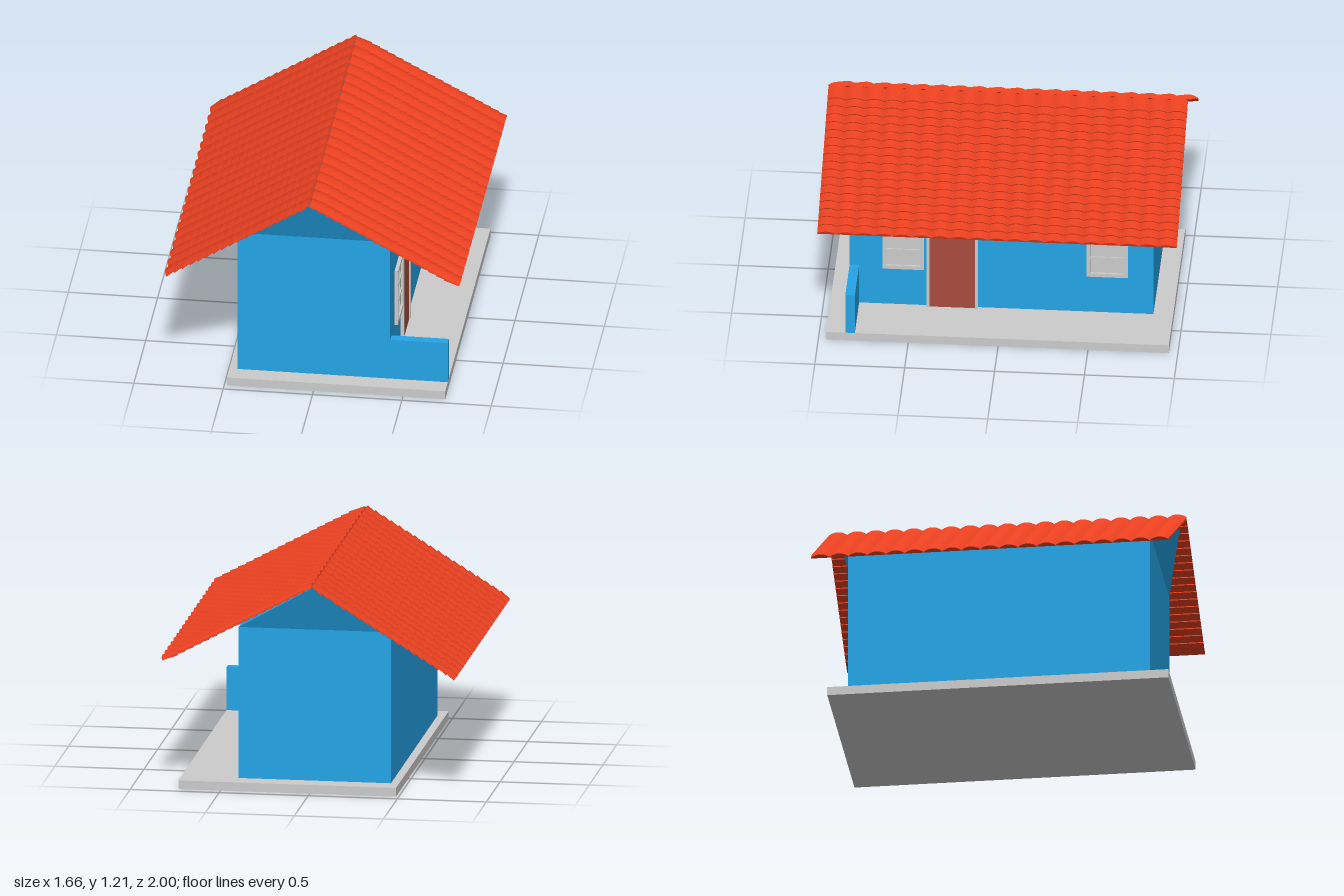
import * as THREE from 'three';
import { toCreasedNormals } from 'three/addons/utils/BufferGeometryUtils.js';

const mat = (color) => new THREE.MeshStandardMaterial({ color });
const GREY = mat(0xcccccc);
const BLUE = mat(0x24a4e6);
const TILE = mat(0xe84020);
const DOOR = mat(0xa74c3c);
const SLAT = mat(0xe06a4a);

// Box given by its limits on each axis
function box(parent, name, material, [x0, x1], [y0, y1], [z0, z1]) {
  const mesh = new THREE.Mesh(new THREE.BoxGeometry(x1 - x0, y1 - y0, z1 - z0), material);
  mesh.position.set((x0 + x1) / 2, (y0 + y1) / 2, (z0 + z1) / 2);
  mesh.name = name;
  parent.add(mesh);
  return mesh;
}

function group(parent, name) {
  const g = new THREE.Group();
  g.name = name;
  parent.add(g);
  return g;
}

const WALL_X = 0.415;

// Paned window on the +x wall: border, two columns and three rows of panes
function addWindow(parent, zc) {
  const g = group(parent, 'window');
  const [y0, y1] = [0.29, 0.63];
  const h = 0.115, b = 0.022;
  const depth = [WALL_X - 0.005, 0.435];
  box(g, 'windowPane', GREY, [WALL_X - 0.005, 0.422], [y0, y1], [zc - h, zc + h]);
  for (const s of [-1, 1]) {
    const z = zc + s * (h - b / 2);
    box(g, 'windowJamb', GREY, depth, [y0, y1], [z - b / 2, z + b / 2]);
    const y = (y0 + y1) / 2 + s * ((y1 - y0) / 2 - b / 2);
    box(g, 'windowRail', GREY, depth, [y - b / 2, y + b / 2], [zc - h + b, zc + h - b]);
  }
  const bar = [WALL_X, 0.43];
  box(g, 'windowMullion', GREY, bar, [y0 + b, y1 - b], [zc - 0.007, zc + 0.007]);
  for (const t of [1 / 3, 2 / 3]) {
    const y = y0 + b + t * (y1 - y0 - 2 * b);
    box(g, 'windowBar', GREY, bar, [y - 0.006, y + 0.006], [zc - h + b, zc + h - b]);
  }
}

// Door with its frame, and the slatted vent above it
function addDoor(parent) {
  const g = group(parent, 'door');
  const [z0, z1] = [0.135, 0.42];
  const depth = [WALL_X - 0.005, 0.435];
  box(g, 'doorLeaf', DOOR, [WALL_X - 0.005, 0.428], [0.05, 0.615], [z0 + 0.015, z1 - 0.015]);
  box(g, 'doorJamb', GREY, depth, [0.05, 0.635], [z0, z0 + 0.015]);
  box(g, 'doorJamb', GREY, depth, [0.05, 0.635], [z1 - 0.015, z1]);
  box(g, 'doorHead', GREY, depth, [0.612, 0.635], [z0 + 0.015, z1 - 0.015]);

  const v = group(parent, 'vent');
  box(v, 'ventRail', SLAT, depth, [0.643, 0.655], [z0, z1]);
  box(v, 'ventRail', SLAT, depth, [0.775, 0.787], [z0, z1]);
  const n = 6, w = 0.024;
  for (let i = 0; i < n; i++) {
    const z = z0 + w / 2 + (i / (n - 1)) * (z1 - z0 - w);
    box(v, 'ventSlat', SLAT, depth, [0.655, 0.775], [z - w / 2, z + w / 2]);
  }
}

// Attic prism whose gable ends lean outwards towards the ridge
function addAttic(parent) {
  const shape = new THREE.Shape();
  shape.moveTo(-0.44, 0.91);
  shape.lineTo(WALL_X, 0.91);
  shape.lineTo(-0.02, 1.175);
  const geo = new THREE.ExtrudeGeometry(shape, { depth: 1, bevelEnabled: false });
  const p = geo.attributes.position;
  for (let i = 0; i < p.count; i++) {
    const lean = ((p.getY(i) - 0.91) / 0.265) * 0.12;
    p.setZ(i, p.getZ(i) > 0.5 ? 0.85 + lean : -0.84 - lean);
  }
  geo.computeVertexNormals();
  const mesh = new THREE.Mesh(geo, BLUE);
  mesh.name = 'gable';
  parent.add(mesh);
}

// One course of tiles: a strip of rounded ridges with a flat underside
function tileCourse(length) {
  const columns = 19, w = 2 / columns, sag = 0.018, base = 0.004, steps = 8;
  const shape = new THREE.Shape();
  shape.moveTo(-1, 0);
  shape.lineTo(1, 0);
  shape.lineTo(1, base);
  for (let c = 0; c < columns; c++) {
    for (let i = 1; i <= steps; i++) {
      const t = i / steps;
      shape.lineTo(1 - (c + t) * w, base + sag * 4 * t * (1 - t));
    }
  }
  const geo = new THREE.ExtrudeGeometry(shape, { depth: length, bevelEnabled: false });
  return toCreasedNormals(geo, 0.6);
}

// Slope of overlapping courses from ridge to eave, each course tilted from the slope
function addSlope(parent, name, side, ridge, eave, length, tilt) {
  const g = group(parent, name);
  const rows = 18;
  const geo = tileCourse(length);
  const along = new THREE.Vector3().subVectors(eave, ridge);
  const total = along.length();
  along.normalize();
  const up = new THREE.Vector3(-side * along.y, side * along.x, 0);
  const angle = Math.atan2(-along.y, side * along.x) + tilt;
  const axis = new THREE.Vector3(side * Math.cos(angle), -Math.sin(angle), 0);
  const normal = new THREE.Vector3(side * Math.sin(angle), Math.cos(angle), 0);
  const across = new THREE.Vector3().crossVectors(normal, axis);
  const turn = new THREE.Matrix4().makeBasis(across, normal, axis);
  const lift = Math.max(0, Math.sin(tilt) * length);
  for (let i = 0; i < rows; i++) {
    const mesh = new THREE.Mesh(geo, TILE);
    mesh.name = 'tileCourse';
    mesh.quaternion.setFromRotationMatrix(turn);
    mesh.position.copy(ridge)
      .addScaledVector(along, (i / (rows - 1)) * (total - length))
      .addScaledVector(up, lift);
    g.add(mesh);
  }
}

export function createModel() {
  const house = new THREE.Group();
  house.name = 'house';

  box(house, 'foundation', GREY, [-0.485, 0.737], [0, 0.05], [-0.95, 0.957]);
  box(house, 'walls', BLUE, [-0.44, WALL_X], [0.05, 0.91], [-0.84, 0.85]);
  box(house, 'porchWall', BLUE, [WALL_X, 0.737], [0.05, 0.295], [0.797, 0.85]);
  addAttic(house);

  addWindow(house, 0.55);
  addWindow(house, -0.585);
  addDoor(house);

  const v = (x, y) => new THREE.Vector3(x, y, 0);
  addSlope(house, 'frontRoofSlope', 1, v(-0.02, 1.18), v(0.815, 0.73), 0.09, -0.14);
  addSlope(house, 'backRoofSlope', -1, v(-0.012, 1.18), v(-0.818, 0.685), 0.07, 0.17);
  return house;
}
